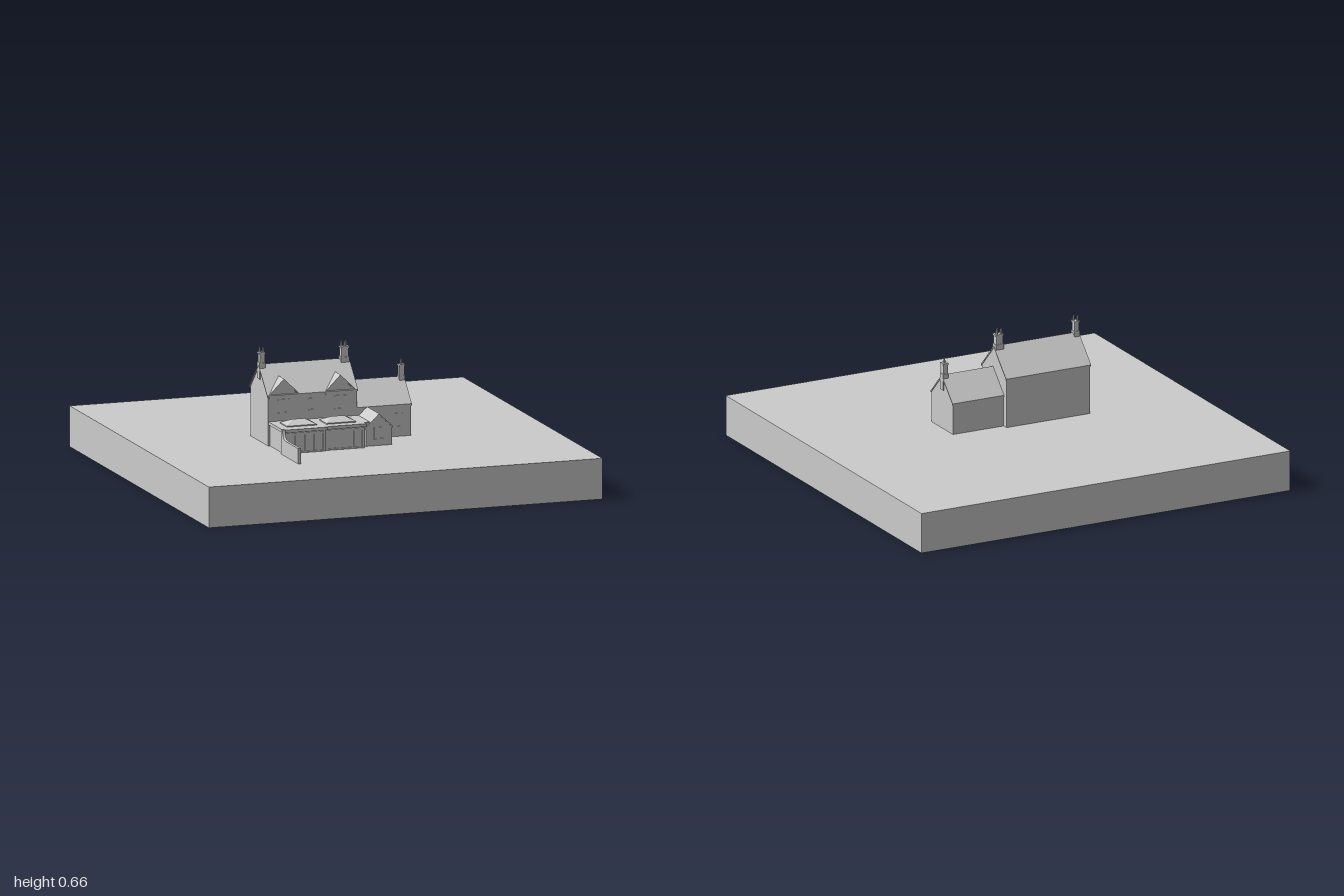
import * as THREE from 'three';

const GROUND = 0.2;
const mat = new THREE.MeshStandardMaterial({ color: 0xcccccc, flatShading: true, side: THREE.DoubleSide });

export function createModel() {
  const root = new THREE.Group();

  const add = (name, geo, parent = root) => {
    const m = new THREE.Mesh(geo, mat);
    m.name = name;
    parent.add(m);
    return m;
  };
  // box given by its min and max corners
  const box = (name, x0, x1, y0, y1, z0, z1, parent) => {
    const m = add(name, new THREE.BoxGeometry(x1 - x0, y1 - y0, z1 - z0), parent);
    m.position.set((x0 + x1) / 2, (y0 + y1) / 2, (z0 + z1) / 2);
    return m;
  };
  const extrude = (pts, depth) => new THREE.ExtrudeGeometry(
    new THREE.Shape(pts.map(p => new THREE.Vector2(...p))), { depth, bevelEnabled: false });
  // extrude a (z, y) profile from x0 to x1
  const extrudeX = (pts, x0, x1) => extrude(pts.map(([z, y]) => [-z, y]), x1 - x0)
    .rotateY(Math.PI / 2).translate(x0, 0, 0);
  // gable outline and the thin roof covering lying on it
  const gable = (a, b, base, eave, ridge) => [[a, base], [b, base], [b, eave], [(a + b) / 2, ridge], [a, eave]];
  const covering = (a, b, eave, ridge, t = 0.008, o = 0.004) => {
    const m = (a + b) / 2, e = eave - o * (ridge - eave) / (m - a);
    return [[a - o, e], [m, ridge], [b + o, e], [b + o, e + t], [m, ridge + t], [a - o, e + t]];
  };

  box('groundSlab', -1, 1, 0, GROUND, -1, 1);

  // main house, ridge along x
  add('mainWalls', extrudeX(gable(-0.055, 0.197, GROUND, 0.442, 0.568), -0.415, 0.037));
  add('mainRoof', extrudeX(covering(-0.055, 0.197, 0.442, 0.568), -0.42, 0.041));

  // lower side wing
  add('wingWalls', extrudeX(gable(-0.026, 0.193, GROUND, 0.352, 0.462), 0.03, 0.312));
  add('wingRoof', extrudeX(covering(-0.026, 0.193, 0.352, 0.462), 0.037, 0.316));

  // framed window on a wall facing +z
  const windowFront = (name, x, y, z, w, h, panes = 2) => {
    const g = new THREE.Group();
    g.name = name;
    root.add(g);
    const t = 0.004;
    box('pane', x - w / 2, x + w / 2, y, y + h, z - 0.002, z + 0.001, g);
    box('sill', x - w / 2 - t, x + w / 2 + t, y - t, y, z - 0.002, z + 0.006, g);
    box('lintel', x - w / 2 - t, x + w / 2 + t, y + h, y + h + t, z - 0.002, z + 0.004, g);
    for (let i = 0; i <= panes; i++) {
      const px = x - w / 2 + w * i / panes;
      box('bar', px - t / 2, px + t / 2, y, y + h, z - 0.002, z + 0.003, g);
    }
  };

  // wall dormers running back into the main roof
  for (const x of [-0.335, -0.048]) {
    add('dormerGable', extrude(gable(x - 0.074, x + 0.074, 0.43, 0.442, 0.516), 0.11).translate(0, 0, 0.088));
    add('dormerRoof', extrude(covering(x - 0.074, x + 0.074, 0.442, 0.516), 0.115).translate(0, 0, 0.087));
    windowFront('upperWindow', x, 0.36, 0.197, 0.05, 0.06);
  }
  windowFront('middleWindow', -0.19, 0.365, 0.197, 0.03, 0.05);
  windowFront('wingWindow', 0.24, 0.25, 0.193, 0.05, 0.06);

  // flat-roofed garden room, its front stepping back to the right
  box('gardenRoomLeft', -0.405, -0.19, GROUND, 0.303, 0.19, 0.393);
  box('gardenRoomRight', -0.19, 0.012, GROUND, 0.303, 0.19, 0.383);
  box('gardenRoomLink', 0.012, 0.036, GROUND, 0.303, 0.19, 0.352);
  box('flatRoofLeft', -0.412, -0.185, 0.303, 0.318, 0.195, 0.404);
  box('flatRoofRight', -0.185, 0.015, 0.303, 0.318, 0.195, 0.393);
  box('flatRoofLink', 0.015, 0.044, 0.303, 0.318, 0.195, 0.362);

  // glazed doors with posts
  const glazing = (x0, x1, z) => {
    const g = new THREE.Group();
    g.name = 'glazedDoors';
    root.add(g);
    for (let i = 0; i <= 4; i++) {
      const x = x0 + (x1 - x0) * i / 4, w = i % 4 ? 0.002 : 0.005;
      box('doorPost', x - w, x + w, GROUND, 0.3, z - 0.002, z + 0.006, g);
    }
    box('doorHead', x0, x1, 0.288, 0.3, z - 0.002, z + 0.006, g);
    box('doorSill', x0, x1, GROUND, 0.207, z - 0.002, z + 0.006, g);
  };
  glazing(-0.395, -0.2, 0.393);
  glazing(-0.18, 0.002, 0.383);

  // hipped roof lanterns: a rectangle rising to a short ridge
  const lantern = (x, z, w, d, ridge, h) => {
    const a = [-w / 2, 0, d / 2], b = [w / 2, 0, d / 2], c = [w / 2, 0, -d / 2], e = [-w / 2, 0, -d / 2];
    const r = [-ridge / 2, h, 0], s = [ridge / 2, h, 0];
    const tris = [a, b, s, a, s, r, c, e, r, c, r, s, b, c, s, e, a, r];
    const geo = new THREE.BufferGeometry();
    geo.setAttribute('position', new THREE.Float32BufferAttribute(tris.flat(), 3));
    geo.computeVertexNormals();
    add('roofLantern', geo).position.set(x, 0.323, z);
    box('lanternKerb', x - w / 2, x + w / 2, 0.316, 0.323, z - d / 2, z + d / 2);
  };
  for (const x of [-0.295, -0.095]) lantern(x, 0.294, 0.152, 0.1, 0.06, 0.022);

  // gabled porch, ridge along z
  add('porchWalls', extrude(gable(0.024, 0.156, GROUND, 0.287, 0.348), 0.175).translate(0, 0, 0.187));
  add('porchRoof', extrude(covering(0.024, 0.156, 0.287, 0.348), 0.175).translate(0, 0, 0.191));
  windowFront('porchWindow', 0.09, 0.235, 0.362, 0.045, 0.05);

  // garden wall sweeping up to the garden room
  const wall = new THREE.Shape();
  wall.moveTo(-0.637, GROUND);
  wall.lineTo(-0.39, GROUND);
  wall.lineTo(-0.39, 0.322);
  wall.lineTo(-0.413, 0.322);
  wall.quadraticCurveTo(-0.417, 0.277, -0.45, 0.275);
  wall.lineTo(-0.637, 0.275);
  add('gardenWall', new THREE.ExtrudeGeometry(wall, { depth: 0.014, bevelEnabled: false, curveSegments: 8 })
    .rotateY(Math.PI / 2).translate(-0.418, 0, 0));

  // chimneys with base, shaft, cap and pots
  const chimney = (x, z, y, h, w, d, potXs) => {
    const g = new THREE.Group();
    g.name = 'chimney';
    root.add(g);
    const part = (name, s, y0, y1) =>
      box(name, x - w * s / 2, x + w * s / 2, y0, y1, z - d * s / 2, z + d * s / 2, g);
    part('chimneyBase', 1, y - 0.06, y + h * 0.28);
    part('chimneyShaft', 0.8, y + h * 0.28, y + h * 0.88);
    part('chimneyCap', 1, y + h * 0.88, y + h);
    for (const [px, pz] of potXs)
      add('chimneyPot', new THREE.CylinderGeometry(0.004, 0.006, 0.026, 8), g)
        .position.set(x + px, y + h + 0.012, z + pz);
  };
  chimney(-0.404, 0.071, 0.565, 0.07, 0.03, 0.036, [[-0.006, -0.008], [0.006, 0.008]]);
  chimney(0.016, 0.071, 0.565, 0.07, 0.044, 0.036, [[-0.012, -0.008], [0.012, -0.008], [0, 0.008]]);
  chimney(0.301, 0.084, 0.455, 0.074, 0.03, 0.034, [[0, 0]]);

  return root;
}
